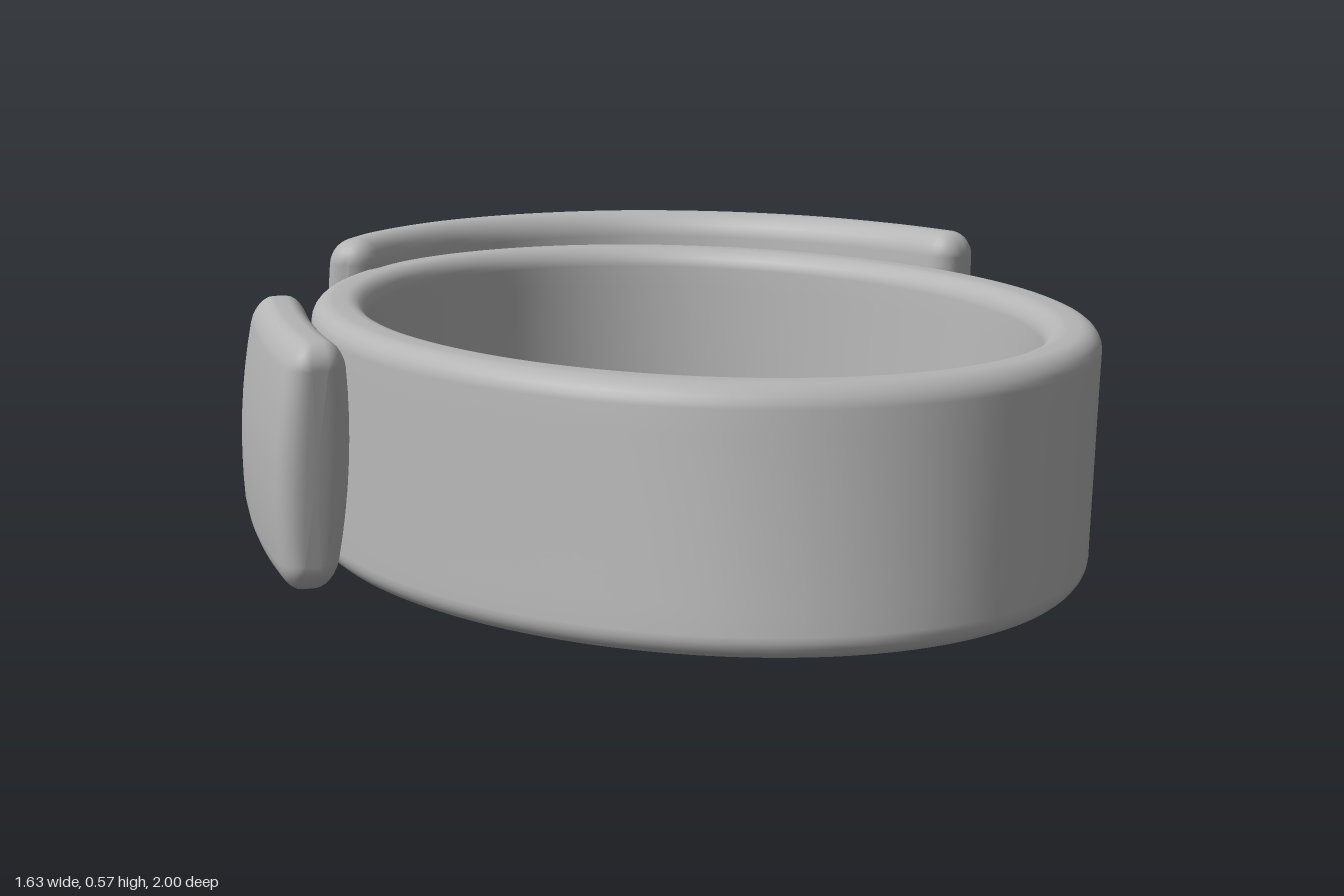
import * as THREE from 'three';

const grey = new THREE.MeshStandardMaterial({ color: 0xb4b4b4 });
grey.name = 'plain grey';

// Rounded rectangle in (thickness, height), counter-clockwise, with subdivided long sides
function section(a, b, r) {
  const pts = [];
  const corners = [[1, 1], [-1, 1], [-1, -1], [1, -1]];
  corners.forEach(([sx, sy], q) => {
    for (let k = 0; k <= 6; k++) {
      const t = (q + k / 6) * Math.PI / 2;
      pts.push([sx * (a - r) + r * Math.cos(t), sy * (b - r) + r * Math.sin(t)]);
    }
    if (q % 2) {
      const side = q === 1 ? -1 : 1;
      for (let k = 1; k < 8; k++) pts.push([side * a, side * (b - r) * (k / 4 - 1)]);
    }
  });
  return pts;
}

// Skins a list of rings; each ring is an array of [x, y, z]
function loft(name, rings, closed) {
  const n = rings[0].length, m = rings.length, pos = rings.flat(2), idx = [];
  for (let i = 0; i < (closed ? m : m - 1); i++) {
    for (let j = 0; j < n; j++) {
      const i2 = (i + 1) % m, j2 = (j + 1) % n;
      const a = i * n + j, b = i * n + j2, c = i2 * n + j2, d = i2 * n + j;
      idx.push(a, b, c, a, c, d);
    }
  }
  if (!closed) {
    for (const [i, flip] of [[0, true], [m - 1, false]]) {
      const c = pos.length / 3;
      for (let k = 0; k < 3; k++) pos.push(rings[i].reduce((s, p) => s + p[k], 0) / n);
      for (let j = 0; j < n; j++) {
        const a = i * n + j, b = i * n + (j + 1) % n;
        if (flip) idx.push(c, b, a); else idx.push(c, a, b);
      }
    }
  }
  const geo = new THREE.BufferGeometry();
  geo.setAttribute('position', new THREE.Float32BufferAttribute(pos, 3));
  geo.setIndex(idx);
  geo.computeVertexNormals();
  const mesh = new THREE.Mesh(geo, grey);
  mesh.name = name;
  return mesh;
}

// Leaning oval band: the lower edge is shifted forward at the front and back
function ovalBand() {
  const rings = [], N = 128;
  const mix = THREE.MathUtils.lerp;
  const at = (t, u) => {
    const s = Math.sin(t);
    return [
      mix(0.005, 0.042, u) + mix(0.637, 0.649, u) * Math.cos(t) - mix(0.07, 0.05, u) * s,
      mix(0.083, -0.008, u) * s * s + mix(0.878, 0.85, u) * s,
    ];
  };
  const prof = section(0.05, 0.21, 0.038);
  for (let i = 0; i < N; i++) {
    const t = i / N * Math.PI * 2;
    const bottom = 0.09 + 0.02 * Math.max(0, Math.sin(t)) ** 2;
    const top = 0.512 - 0.006 * Math.cos(t);
    rings.push(prof.map(([d, h]) => {
      const u = (h + 0.21) / 0.42;
      const p = at(t, u), q = at(t + 0.01, u);
      const tx = q[0] - p[0], tz = q[1] - p[1], l = Math.hypot(tx, tz);
      return [p[0] + d * tz / l, bottom + u * (top - bottom), p[1] - d * tx / l];
    }));
  }
  return loft('ovalBand', rings, true);
}

// Curved plate with rounded ends; path is its upper centre line, lean(s) moves the lower edge outward
function curvedPlate(name, path, o) {
  const curve = new THREE.CatmullRomCurve3(path.map(([x, z]) => new THREE.Vector3(x, 0, z)));
  const len = curve.getLength(), s0 = o.r / len;
  const start = [], middle = [];
  for (let k = 6; k >= 0; k--) {
    const t = k / 6 * Math.PI / 2;
    start.push([s0 * (1 - Math.sin(t)), o.r * 0.97 * (1 - Math.cos(t))]);
  }
  for (let k = 1; k < o.steps; k++) middle.push([s0 + (1 - 2 * s0) * k / o.steps, 0]);
  const end = start.map(([s, inset]) => [1 - s, inset]).reverse();
  const b = (o.top - o.bottom) / 2, y = (o.top + o.bottom) / 2;

  const rings = [...start, ...middle, ...end].map(([s, inset]) => {
    const p = curve.getPointAt(s), t = curve.getTangentAt(s);
    return section(o.half - inset, b - inset, o.r - inset).map(([d, h]) => {
      const u = h / b;
      const off = d * (1 - o.taper * u * u) + o.lean(s) * (1 - u) / 2 + o.bulge * (1 - u * u);
      return [p.x + t.z * off, y + h, p.z - t.x * off];
    });
  });
  return loft(name, rings, false);
}

export function createModel() {
  const model = new THREE.Group();
  model.name = 'bandWithPlates';
  model.add(ovalBand());

  // Tall plate wrapping the back and left side
  model.add(curvedPlate('backPlate', [
    [-0.405, -0.67], [-0.28, -0.8], [-0.09, -0.913], [0.1, -0.95], [0.3, -0.923],
    [0.482, -0.818], [0.627, -0.653], [0.72, -0.455], [0.772, -0.255],
  ], {
    half: 0.055, r: 0.049, bottom: 0.002, top: 0.573, lean: s => -0.06 * s - 0.28 * s * (1 - s),
    taper: 0.1, bulge: 0.012, steps: 64,
  }));

  // Short plate on the right side
  model.add(curvedPlate('sidePlate', [
    [-0.75, 0.205], [-0.73, 0.05], [-0.693, -0.15], [-0.633, -0.4],
  ], {
    half: 0.063, r: 0.047, bottom: 0.095, top: 0.52, lean: () => 0.025,
    taper: 0.3, bulge: 0, steps: 24,
  }));

  return model;
}
